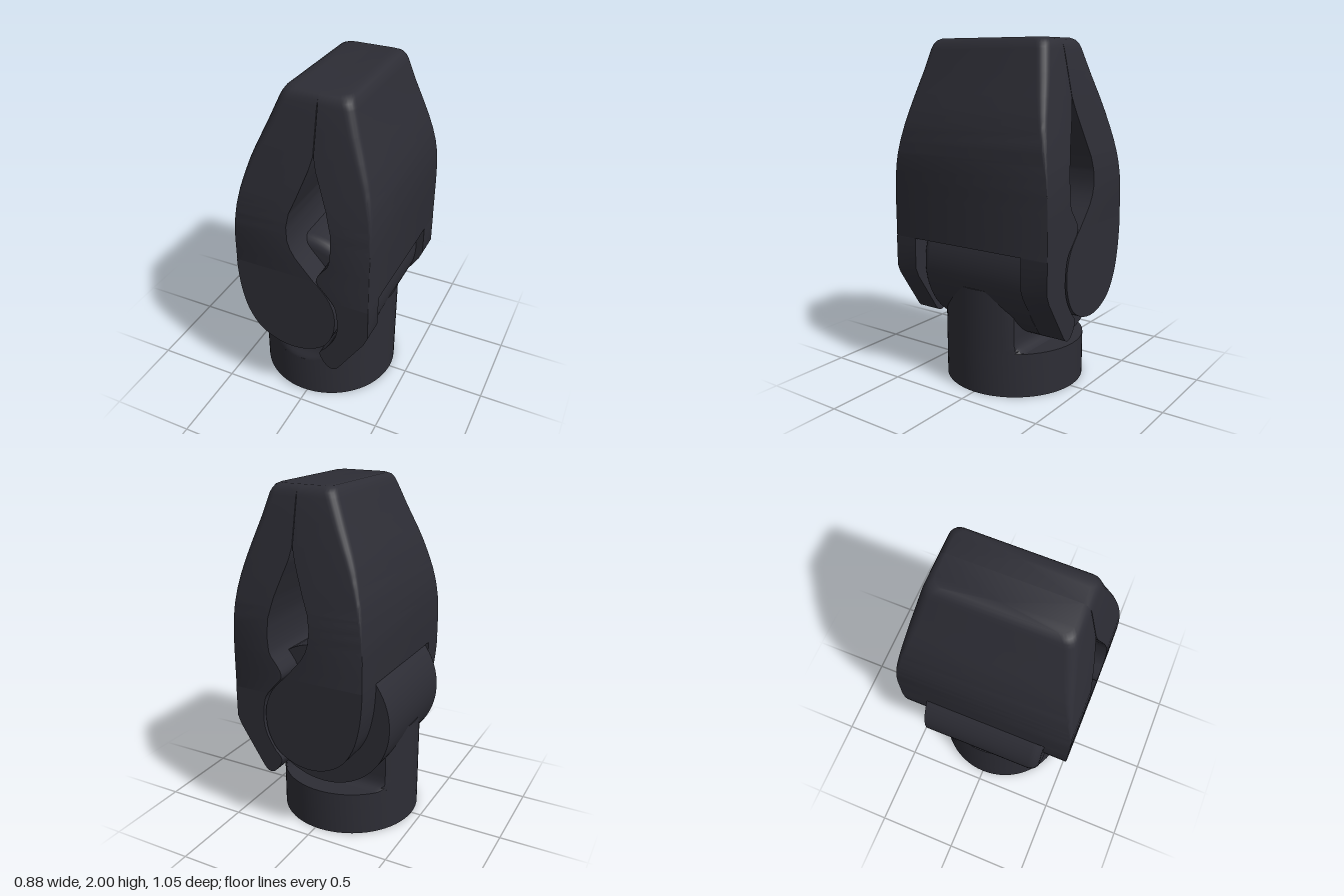
import * as THREE from 'three';
import { toCreasedNormals } from 'three/addons/utils/BufferGeometryUtils.js';

const V2 = (p) => new THREE.Vector2(p[0], p[1]);

// Linear lookup in a table of [y, value]
function look(table, y) {
  if (y <= table[0][0]) return table[0][1];
  for (let i = 1; i < table.length; i++) {
    const [y0, a] = table[i - 1], [y1, b] = table[i];
    if (y <= y1) return a + (b - a) * (y - y0) / (y1 - y0);
  }
  return table[table.length - 1][1];
}

// Skin a stack of rings (each running from +x towards +z), capped at both ends
function loft(rings) {
  const pos = [], idx = [], n = rings[0].length;
  rings.forEach((r) => r.forEach((p) => pos.push(...p)));
  for (let r = 0; r < rings.length - 1; r++) {
    for (let i = 0; i < n; i++) {
      const a = r * n + i, b = r * n + (i + 1) % n;
      idx.push(a, a + n, b, b, a + n, b + n);
    }
  }
  [0, rings.length - 1].forEach((r) => {
    const c = pos.length / 3, sum = [0, 0, 0];
    rings[r].forEach((p) => p.forEach((v, k) => { sum[k] += v / n; }));
    pos.push(...sum);
    for (let i = 0; i < n; i++) {
      const a = r * n + i, b = r * n + (i + 1) % n;
      if (r === 0) idx.push(c, a, b); else idx.push(c, b, a);
    }
  });
  const g = new THREE.BufferGeometry();
  g.setAttribute('position', new THREE.Float32BufferAttribute(pos, 3));
  g.setIndex(idx);
  return toCreasedNormals(g, 0.6);
}

// Half depth of the jaws at each height
const DEPTH = [[1.1, 0.525], [1.2, 0.523], [1.3, 0.516], [1.37, 0.507], [1.48, 0.488], [1.58, 0.469],
  [1.7, 0.446], [1.82, 0.421], [1.94, 0.396], [1.97, 0.386], [1.99, 0.37], [2, 0.348]];

// Upper jaw: rectangular sections with rounded outer corners; side is +1 or -1
function jawGeometry(inner, outer, side) {
  const ys = [...new Set([...inner, ...outer, ...DEPTH].map((p) => p[0]))]
    .filter((y) => y >= inner[0][0]).sort((a, b) => a - b);
  return loft(ys.map((y) => {
    const xi = look(inner, y), xo = look(outer, y), h = look(DEPTH, y);
    const r = 0.004 + 0.05 * THREE.MathUtils.smoothstep(y, 1.1, 1.9);
    const ring = [];
    for (const sz of [-1, 1]) {
      for (let k = 0; k <= 5; k++) {
        const a = (sz < 0 ? 5 - k : k) / 5 * Math.PI / 2;
        ring.push([xo - side * r * (1 - Math.cos(a)), y, sz * (h - r * (1 - Math.sin(a)))]);
      }
    }
    ring.push([xi, y, h], [xi, y, -h]);
    return side > 0 ? ring : ring.reverse();
  }));
}

// Flat plate extruded from z0 to z1
function plateGeometry(shape, z0, z1) {
  const g = new THREE.ExtrudeGeometry(shape, { depth: z1 - z0, bevelEnabled: false, curveSegments: 48 });
  g.translate(0, 0, z0);
  return toCreasedNormals(g, 0.5);
}

export function createModel() {
  const model = new THREE.Group();
  model.name = 'gripperHand';
  const dark = new THREE.MeshStandardMaterial({ color: 0x2d2d35 });
  dark.name = 'charcoal plastic';
  const add = (name, geometry, parent = model) => {
    const m = new THREE.Mesh(geometry, dark);
    m.name = name;
    parent.add(m);
    return m;
  };
  const CX = -0.025, R = 0.415;

  // Hollow wrist ring
  const wrist = new THREE.LatheGeometry([[0, 0.17], [0.39, 0.17], [0.39, 0], [R, 0], [R, 0.26], [0, 0.26]].map(V2), 64);
  add('wrist', toCreasedNormals(wrist, 0.5)).position.x = CX;

  // Neck: the wrist cylinder trimmed flat at front and back, rounded at its top rear edge
  const back = [[0.255, -0.29], [0.262, -0.27], [0.275, -0.25], [0.29, -0.238], [0.31, -0.23], [0.48, -0.23]];
  for (let k = 1; k <= 8; k++) {
    const a = k / 8 * Math.PI / 2;
    back.push([0.48 + 0.14 * Math.sin(a), -0.09 - 0.14 * Math.cos(a)]);
  }
  const front = [[0.255, 0.415], [0.275, 0.41], [0.29, 0.402], [0.32, 0.388], [0.35, 0.378]];
  add('neck', loft([...back.map((p) => p[0]), 0.35].sort((a, b) => a - b).map((y) => {
    const ring = [];
    for (let i = 0; i < 72; i++) {
      const a = i / 72 * Math.PI * 2;
      ring.push([CX + R * Math.cos(a), y,
        THREE.MathUtils.clamp(R * Math.sin(a), look(back, y), look(front, y))]);
    }
    return ring;
  })));

  // Knuckle drum across the palm, with a rounded front edge
  const drum = [[0, -0.36], [0.42, -0.36]];
  for (let k = 0; k <= 6; k++) {
    const a = k / 6 * Math.PI / 2;
    drum.push([0.36 + 0.06 * Math.cos(a), 0.317 + 0.06 * Math.sin(a)]);
  }
  drum.push([0, 0.377]);
  const drumGeo = new THREE.LatheGeometry(drum.map(V2), 72);
  drumGeo.rotateX(Math.PI / 2);
  add('knuckleDrum', toCreasedNormals(drumGeo, 0.5)).position.set(CX, 0.72, 0);

  // Upper jaws
  const thumb = new THREE.Group(), fingers = new THREE.Group();
  thumb.name = 'thumb';
  fingers.name = 'fingers';
  model.add(thumb, fingers);
  add('thumbJaw', jawGeometry(
    [[0.98, 0.115], [1.05, 0.053], [1.1, 0.01], [1.15, -0.02], [1.2, -0.036], [1.28, -0.042], [1.36, -0.028],
      [1.45, 0.008], [1.55, 0.045], [1.62, 0.07], [1.69, 0.088], [1.94, 0.088], [1.97, 0.09], [2, 0.09]],
    [[0.98, -0.36], [1.15, -0.36], [1.24, -0.356], [1.34, -0.345], [1.43, -0.329], [1.52, -0.305], [1.6, -0.28],
      [1.67, -0.253], [1.8, -0.196], [1.95, -0.133], [1.97, -0.123], [1.99, -0.11], [2, -0.09]], -1), thumb);
  add('fingerJaw', jawGeometry(
    [[0.87, 0.225], [0.92, 0.182], [0.96, 0.145], [0.98, 0.134], [1, 0.134], [1.02, 0.142], [1.06, 0.17],
      [1.09, 0.195], [1.12, 0.209], [1.2, 0.217], [1.3, 0.214], [1.42, 0.183], [1.55, 0.135], [1.62, 0.108],
      [1.69, 0.092], [1.94, 0.092], [1.97, 0.09], [2, 0.09]],
    [[0.87, 0.44], [1.25, 0.44], [1.35, 0.437], [1.43, 0.429], [1.52, 0.412], [1.6, 0.391], [1.69, 0.362],
      [1.82, 0.317], [1.95, 0.277], [1.97, 0.267], [1.99, 0.255], [2, 0.235]], 1), fingers);

  // Rounded lower plates of the thumb
  const round = new THREE.Shape();
  round.moveTo(-0.36, 0.98);
  round.splineThru([[-0.357, 0.9], [-0.343, 0.78], [-0.308, 0.65], [-0.24, 0.54], [-0.14, 0.476], [-0.03, 0.455],
    [0.08, 0.475], [0.175, 0.535], [0.228, 0.63], [0.243, 0.73], [0.233, 0.81], [0.2, 0.885], [0.15, 0.947],
    [0.115, 0.98]].map(V2));

  // Hooked lower plates of the fingers
  const hook = new THREE.Shape();
  hook.moveTo(0.44, 0.87);
  hook.lineTo(0.44, 0.69);
  hook.lineTo(0.42, 0.64);
  hook.lineTo(0.27, 0.41);
  hook.splineThru([[0.245, 0.384], [0.21, 0.38], [0.175, 0.41], [0.149, 0.46], [0.156, 0.49], [0.185, 0.52]].map(V2));
  hook.splineThru([[0.235, 0.6], [0.258, 0.68], [0.257, 0.76], [0.245, 0.83], [0.225, 0.87]].map(V2));

  [['front', 0.38, 0.525], ['back', -0.525, -0.36]].forEach(([where, z0, z1]) => {
    add(where + 'ThumbPlate', plateGeometry(round, z0, z1), thumb);
    add(where + 'FingerPlate', plateGeometry(hook, z0, z1), fingers);
  });

  return model;
}
